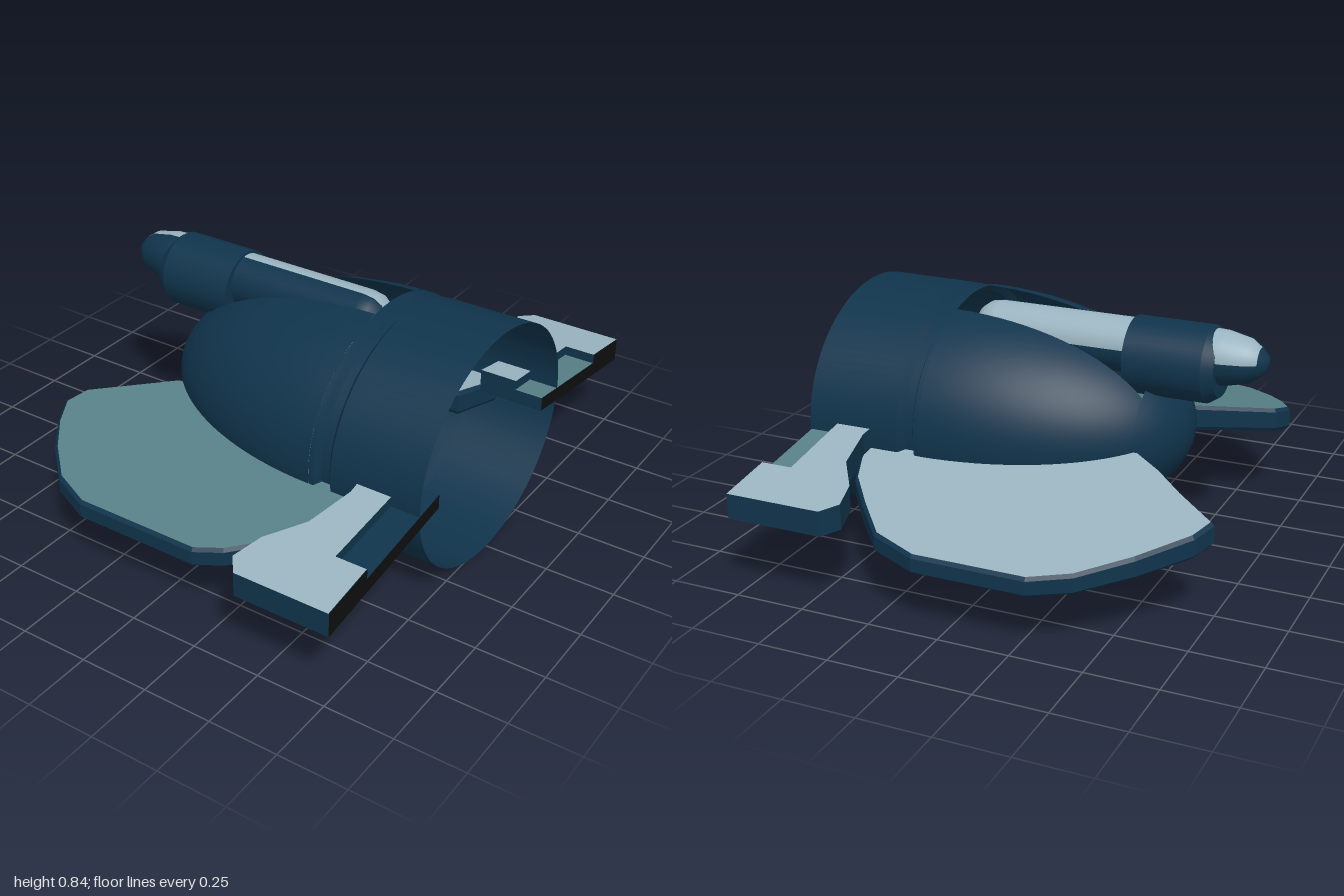
import * as THREE from 'three';

const mat = (name, color, side = THREE.FrontSide) => {
  const m = new THREE.MeshStandardMaterial({ color, side });
  m.name = name;
  return m;
};

export function createModel() {
  const navy = mat('navy', 0x10344c);
  const shell = mat('navy shell', 0x10344c, THREE.DoubleSide);
  const pale = mat('pale blue', 0x9ab4c0);
  const teal = mat('teal', 0x578086);
  const black = mat('black', 0x0f0f0f);

  const model = new THREE.Group();
  model.name = 'model';
  const add = (name, geo, material, parent = model) => {
    const mesh = new THREE.Mesh(geo, material);
    mesh.name = name;
    parent.add(mesh);
    return mesh;
  };

  // ---- Hull: open oval shell along x, in bands so the groove stays crisp
  const CY = 0.418, RY = 0.418, RZ = 0.482;
  const domeRadius = x => Math.sqrt(Math.max(0, 1 - ((0.36 - x) / 0.845) ** 2));
  const dome = (a, b, n) => Array.from({ length: n + 1 }, (_, i) => {
    // points bunch up towards the rounded end
    const x = a + (b - a) * (1 - Math.cos((i / n) * Math.PI / 2));
    return [x, domeRadius(x)];
  });
  const band = (points, slot = false) => {
    const cols = 96, rows = points.length - 1;
    const geo = new THREE.PlaneGeometry(1, 1, cols, rows);
    const pos = geo.attributes.position;
    for (let i = 0; i <= rows; i++) {
      const [x, r] = points[i];
      const from = slot ? Math.asin(0.085 / (r * RZ)) : 0;
      const to = Math.PI * 2 - (slot ? Math.asin(0.168 / (r * RZ)) : 0);
      for (let j = 0; j <= cols; j++) {
        const a = from + (to - from) * j / cols;
        pos.setXYZ(i * (cols + 1) + j, x, CY + RY * r * Math.cos(a), RZ * r * Math.sin(a));
      }
    }
    geo.computeVertexNormals();
    return geo;
  };
  const hull = new THREE.Group();
  hull.name = 'hull';
  model.add(hull);
  add('hullNose', band(dome(-0.485, -0.36, 12)), shell, hull);
  add('slottedHull', band(dome(-0.36, 0.34, 20), true), shell, hull);
  const rear = [[0.34, 0.998], [0.357, 0.998], [0.373, 0.94], [0.405, 0.94], [0.424, 0.994], [0.765, 1]];
  for (let i = 0; i < rear.length - 1; i++) {
    add('hullBand', band([rear[i], rear[i + 1]]), shell, hull);
  }

  // ---- Tube lying in the slot, with a pale stripe on its upper far side
  const turned = (points, start, length, segments) => {
    const geo = new THREE.LatheGeometry(points.map(([x, r]) => new THREE.Vector2(r, x)), segments, start, length);
    return geo.rotateZ(-Math.PI / 2); // y axis becomes +x, +x becomes -y
  };
  const tube = new THREE.Group();
  tube.name = 'tube';
  tube.position.set(0, 0.725, -0.047);
  model.add(tube);
  const tip = [[-0.765, 0], [-0.76, 0.025], [-0.735, 0.052]];
  const long = [[-0.735, 0.052], [-0.7, 0.077], [-0.62, 0.095], [-0.58, 0.097], [0.22, 0.097],
    [0.262, 0.09], [0.292, 0.069], [0.31, 0.036], [0.316, 0]];
  // lathe angle: -90 degrees is up, 180 degrees is -z
  const paleFrom = Math.PI * 1.02, paleTo = Math.PI * 1.555;
  add('tubeTip', turned(tip, 0, Math.PI * 2, 24), shell, tube);
  add('tubeStripe', turned(long, paleFrom, paleTo - paleFrom, 10), pale, tube);
  add('tubeBody', turned(long, paleTo, Math.PI * 2 - (paleTo - paleFrom), 28), shell, tube);

  // ---- Collar around the front of the tube
  const collarProfile = [[-0.603, 0], [-0.603, 0.11], [-0.565, 0.135], [-0.285, 0.135], [-0.285, 0]];
  for (let i = 0; i < collarProfile.length - 1; i++) {
    const part = add('collar', turned([collarProfile[i], collarProfile[i + 1]], 0, Math.PI * 2, 32), shell);
    part.position.set(0, 0.695, -0.045);
  }

  // ---- Sloping slabs: an outline of [x, distance from centre] between two sloping planes
  const slab = (outline, side, bottom, top, bevel) => {
    const shape = new THREE.Shape(outline.map(([x, z]) => new THREE.Vector2(x, -side * z)));
    const t = bevel ? 0.15 : 0;
    const geo = new THREE.ExtrudeGeometry(shape, {
      depth: 1 - 2 * t, bevelEnabled: bevel > 0, bevelThickness: t,
      bevelSize: bevel, bevelOffset: -bevel, bevelSegments: 1,
    }).rotateX(-Math.PI / 2);
    const pos = geo.attributes.position;
    for (let i = 0; i < pos.count; i++) {
      const z = Math.abs(pos.getZ(i)), d = pos.getY(i) + t;
      pos.setY(i, bottom(z) + (top(z) - bottom(z)) * d);
    }
    geo.computeVertexNormals();
    // material 0 on the sides and bottom, material 1 on the top
    const caps = geo.groups[0].count;
    geo.clearGroups();
    geo.addGroup(0, caps / 2, 0);
    geo.addGroup(caps / 2, caps / 2, 1);
    geo.addGroup(caps, pos.count - caps, 0);
    return geo;
  };

  // ---- Large side fins
  const finTop = z => 0.285 + 0.2 * (0.9 - z);
  const finBottom = z => 0.215 + 0.16 * (0.9 - z);
  const leftFin = [[-0.38, 0.24], [-0.66, 0.435], [-0.69, 0.52], [-0.64, 0.62], [-0.56, 0.725], [-0.445, 0.835],
    [-0.3, 0.895], [0.17, 0.895], [0.265, 0.85], [0.41, 0.725], [0.51, 0.58], [0.535, 0.48], [0.5, 0.24]];
  const rightFin = [[-0.38, 0.24], [-0.49, 0.32], [-0.6, 0.42], [-0.755, 0.545], [-0.72, 0.635], [-0.585, 0.79],
    [-0.435, 0.925], [-0.3, 0.985], [0.095, 0.985], [0.265, 0.915], [0.385, 0.78], [0.49, 0.65],
    [0.54, 0.53], [0.54, 0.46], [0.5, 0.24]];
  add('frontFin', slab(leftFin, 1, finBottom, finTop, 0.01), [navy, teal]);
  add('backFin', slab(rightFin, -1, finBottom, finTop, 0.01), [navy, pale]);

  // ---- Rear panels: a lower slab, a raised border around the recess and a black cut end
  const panelTop = z => 0.366 + 0.145 * (1 - z);
  const panelFloor = z => panelTop(z) - 0.036;
  const panelBottom = z => 0.278 + 0.145 * (1 - z);
  const outer = [[0.52, 0.36], [0.53, 0.52], [0.49, 0.7], [0.4, 0.83], [0.37, 0.94], [0.415, 1], [0.763, 1]];
  for (const side of [1, -1]) {
    const panel = new THREE.Group();
    panel.name = side > 0 ? 'frontPanel' : 'backPanel';
    model.add(panel);
    add('panelBase', slab([...outer, [0.763, 0.36]], side, panelBottom, panelFloor, 0),
      [navy, side > 0 ? navy : teal], panel);
    add('panelBorder', slab([...outer, [0.763, 0.79], [0.65, 0.79], [0.66, 0.36]], side, panelFloor, panelTop, 0),
      [navy, pale], panel);
    const end = [[0.36, panelBottom], [1, panelBottom], [1, panelTop], [0.79, panelTop],
      [0.79, panelFloor], [0.36, panelFloor]];
    const endShape = new THREE.Shape(end.map(([z, f]) => new THREE.Vector2(-side * z, f(z))));
    add('panelEnd', new THREE.ShapeGeometry(endShape).rotateY(Math.PI / 2).translate(0.765, 0, 0), black, panel);
  }
  return model;
}
